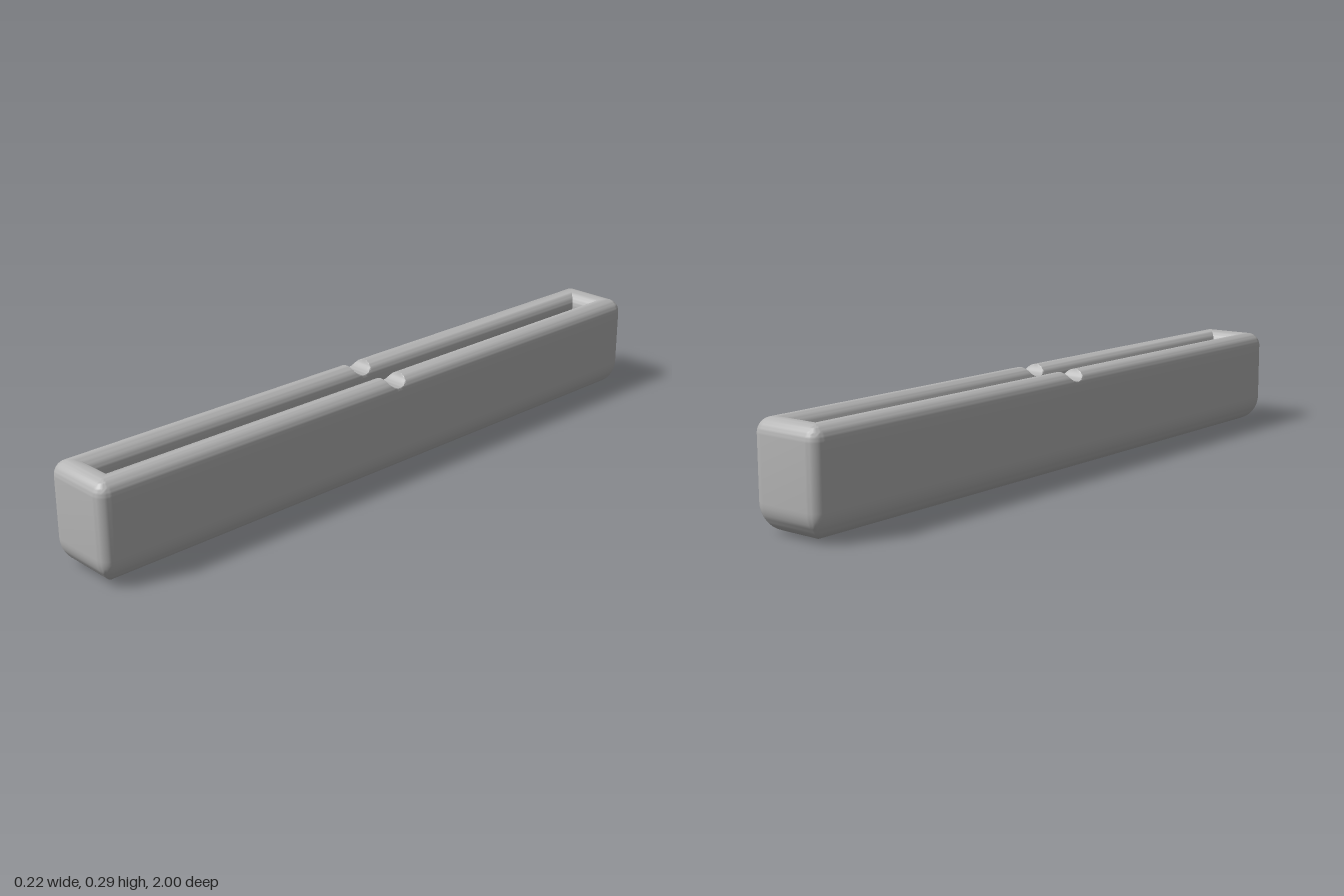
import * as THREE from 'three';
import { toCreasedNormals } from 'three/addons/utils/BufferGeometryUtils.js';

const HALF_W = 0.11, HALF_L = 1, HEIGHT = 0.288;
const CORNER = 0.035, BOTTOM_R = 0.08, RIM_R = 0.04, FLOOR_Y = 0.08;
const NOTCH_R = 0.035, NOTCH_Y = 0.295;

// Wall section as [inset from the outside, height], from underside to inner floor
function wallProfile() {
  const pts = [[HALF_W, 0]];
  const arc = (cx, cy, r, from, to, n) => {
    for (let i = 0; i <= n; i++) {
      const a = from + (to - from) * i / n;
      pts.push([cx + r * Math.cos(a), cy + r * Math.sin(a)]);
    }
  };
  arc(BOTTOM_R, BOTTOM_R, BOTTOM_R, Math.PI * 1.5, Math.PI, 12);   // rounded base
  arc(RIM_R, HEIGHT - RIM_R, RIM_R, Math.PI, 0, 24);               // full-round rim
  pts.push([2 * RIM_R, FLOOR_Y], [HALF_W, FLOOR_Y]);               // slot wall and floor
  return pts;
}

// Rounded rectangle in plan, with extra points on the long sides at the notch
function planRing(inset) {
  const hx = HALF_W - inset, hz = HALF_L - inset;
  const r = Math.max(CORNER - inset, 0);
  const ring = [];
  const corner = (sx, sz, start) => {
    for (let i = 0; i <= 8; i++) {
      const a = start + Math.PI / 2 * i / 8;
      ring.push([sx * (hx - r) + r * Math.cos(a), sz * (hz - r) + r * Math.sin(a)]);
    }
  };
  const side = (x, dir) => {
    for (let i = -10; i <= 10; i++) ring.push([x, dir * NOTCH_R * Math.sin(i / 10 * Math.PI / 2)]);
  };
  side(hx, 1);
  corner(1, 1, 0);
  corner(-1, 1, Math.PI / 2);
  side(-hx, -1);
  corner(-1, -1, Math.PI);
  corner(1, -1, Math.PI * 1.5);
  return ring;
}

// Height left after the round groove is cut across the rim
function notched(y, z) {
  if (Math.abs(z) >= NOTCH_R) return y;
  return Math.min(y, NOTCH_Y - Math.sqrt(NOTCH_R * NOTCH_R - z * z));
}

function troughGeometry() {
  const positions = [], index = [];
  const profile = wallProfile();
  let n = 0;
  for (const [inset, y] of profile) {
    const ring = planRing(inset);
    n = ring.length;
    for (const [x, z] of ring) positions.push(x, notched(y, z), z);
  }
  for (let j = 0; j < profile.length - 1; j++) {
    for (let i = 0; i < n; i++) {
      const a = j * n + i, b = j * n + (i + 1) % n;
      index.push(a, a + n, b, b, a + n, b + n);
    }
  }
  const geometry = new THREE.BufferGeometry();
  geometry.setAttribute('position', new THREE.Float32BufferAttribute(positions, 3));
  geometry.setIndex(index);
  return toCreasedNormals(geometry, 0.6);
}

export function createModel() {
  const grey = new THREE.MeshStandardMaterial({ color: 0xb4b4b4 });
  grey.name = 'plain grey';

  const group = new THREE.Group();
  group.name = 'notchedTrough';
  const trough = new THREE.Mesh(troughGeometry(), grey);
  trough.name = 'troughBody';
  group.add(trough);
  return group;
}
